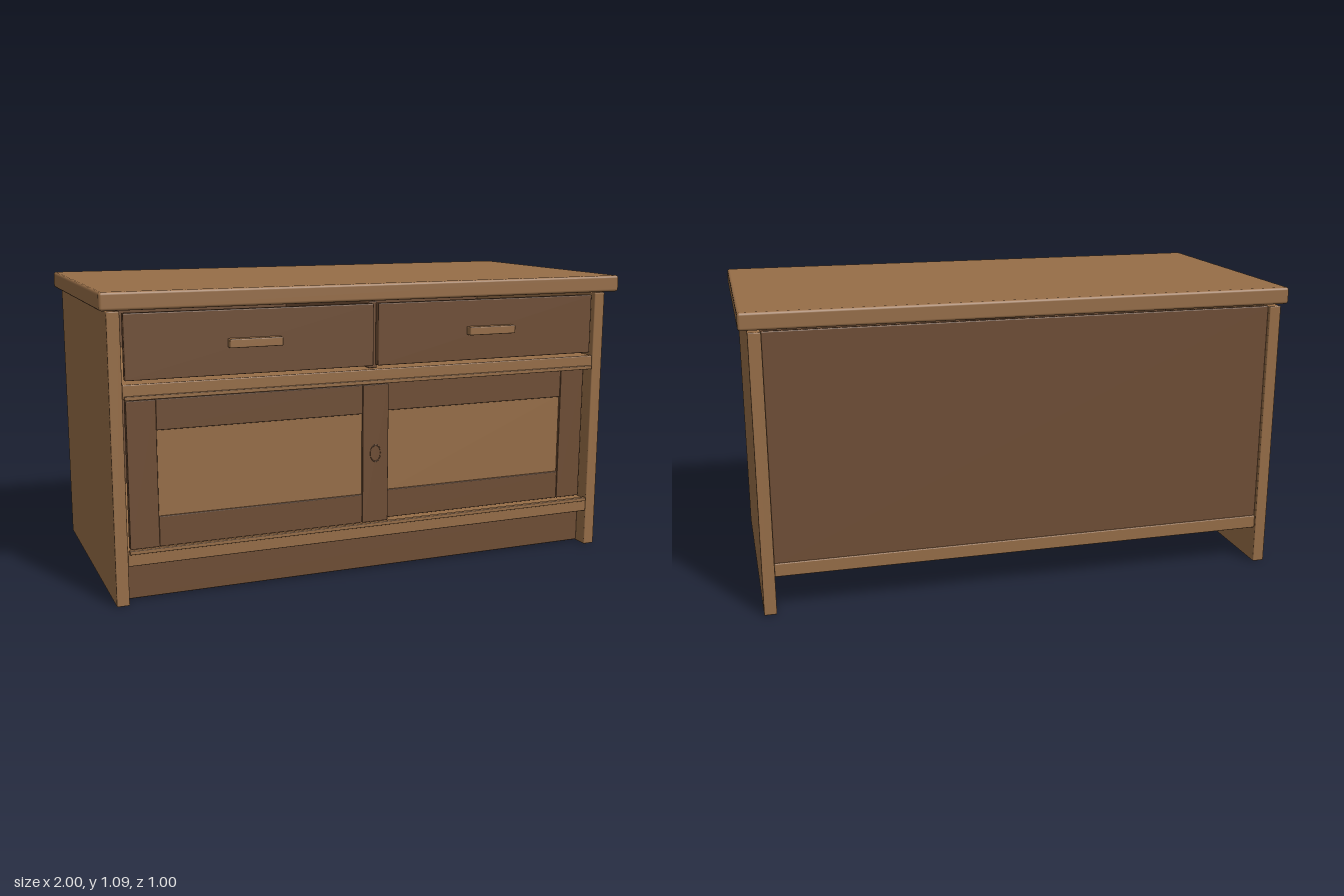
import * as THREE from 'three';
import { RoundedBoxGeometry } from 'three/addons/geometries/RoundedBoxGeometry.js';

export function createModel() {
  const model = new THREE.Group();
  model.name = 'sideboard';

  const lightWood = new THREE.MeshStandardMaterial({ color: 0x966d47 });
  lightWood.name = 'light wood';
  const darkWood = new THREE.MeshStandardMaterial({ color: 0x6e4d34 });
  darkWood.name = 'dark wood';

  // A board given by its extents along each axis, with slightly eased edges
  function board(name, material, [x0, x1], [y0, y1], [z0, z1], ease = 0.004, parent = model) {
    const geometry = new RoundedBoxGeometry(x1 - x0, y1 - y0, z1 - z0, 2, ease);
    const mesh = new THREE.Mesh(geometry, material);
    mesh.position.set((x0 + x1) / 2, (y0 + y1) / 2, (z0 + z1) / 2);
    mesh.name = name;
    parent.add(mesh);
    return mesh;
  }

  // Carcass
  board('top', lightWood, [-1, 1], [1.024, 1.086], [-0.502, 0.502], 0.01);
  board('rightSide', lightWood, [-0.97, -0.925], [0, 1.018], [-0.502, 0.455]);
  board('leftSide', lightWood, [0.925, 0.97], [0, 1.018], [-0.502, 0.455]);
  board('bottomShelf', lightWood, [-0.925, 0.925], [0.14, 0.19], [-0.495, 0.455]);
  board('middleShelf', lightWood, [-0.925, 0.925], [0.722, 0.772], [-0.475, 0.455]);
  board('backPanel', darkWood, [-0.925, 0.925], [0.18, 1.018], [-0.49, -0.47]);
  board('plinth', darkWood, [-0.925, 0.925], [0.004, 0.14], [0.37, 0.4]);
  board('drawerDivider', darkWood, [-0.02, 0.014], [0.772, 1.015], [-0.47, 0.425]);

  // Thin lips that guide the sliding doors
  for (const [name, y] of [['upperLip', 0.719], ['lowerLip', 0.183]]) {
    board(name, lightWood, [-0.92, 0.92], [y, y + 0.014], [0.445, 0.462], 0.002);
  }

  // Drawers with bar handles
  for (const [name, x0, x1] of [['rightDrawer', -0.915, -0.012], ['leftDrawer', 0.006, 0.912]]) {
    const drawer = new THREE.Group();
    drawer.name = name;
    const mid = Math.sign(x0 + x1) * 0.462;
    board('drawerFront', darkWood, [x0, x1], [0.784, 1.01], [0.425, 0.453], 0.004, drawer);
    board('handle', lightWood, [mid - 0.096, mid + 0.096], [0.88, 0.911], [0.45, 0.482], 0.004, drawer);
    model.add(drawer);
  }

  // Sliding framed doors, one running behind the other
  for (const [name, x0, x1, z] of [['frontDoor', -0.915, 0.052, 0.42], ['rearDoor', -0.05, 0.912, 0.39]]) {
    const door = new THREE.Group();
    door.name = name;
    const stile = 0.103, front = z + 0.028;
    board('stile', darkWood, [x0, x0 + stile], [0.197, 0.715], [z, front], 0.003, door);
    board('stile', darkWood, [x1 - stile, x1], [0.197, 0.715], [z, front], 0.003, door);
    for (const [y0, y1] of [[0.197, 0.305], [0.608, 0.715]]) {
      board('rail', darkWood, [x0 + stile, x1 - stile], [y0, y1], [z, front - 0.002], 0.003, door);
    }
    board('panel', lightWood, [x0 + 0.09, x1 - 0.09], [0.29, 0.62], [z + 0.006, z + 0.018], 0.002, door);
    model.add(door);
  }

  // Oval finger pull on the centre stile
  const pull = new THREE.Mesh(new THREE.TorusGeometry(0.02, 0.0015, 6, 32), darkWood);
  pull.name = 'fingerPull';
  pull.scale.y = 1.55;
  pull.position.set(0, 0.458, 0.448);
  model.add(pull);

  return model;
}
